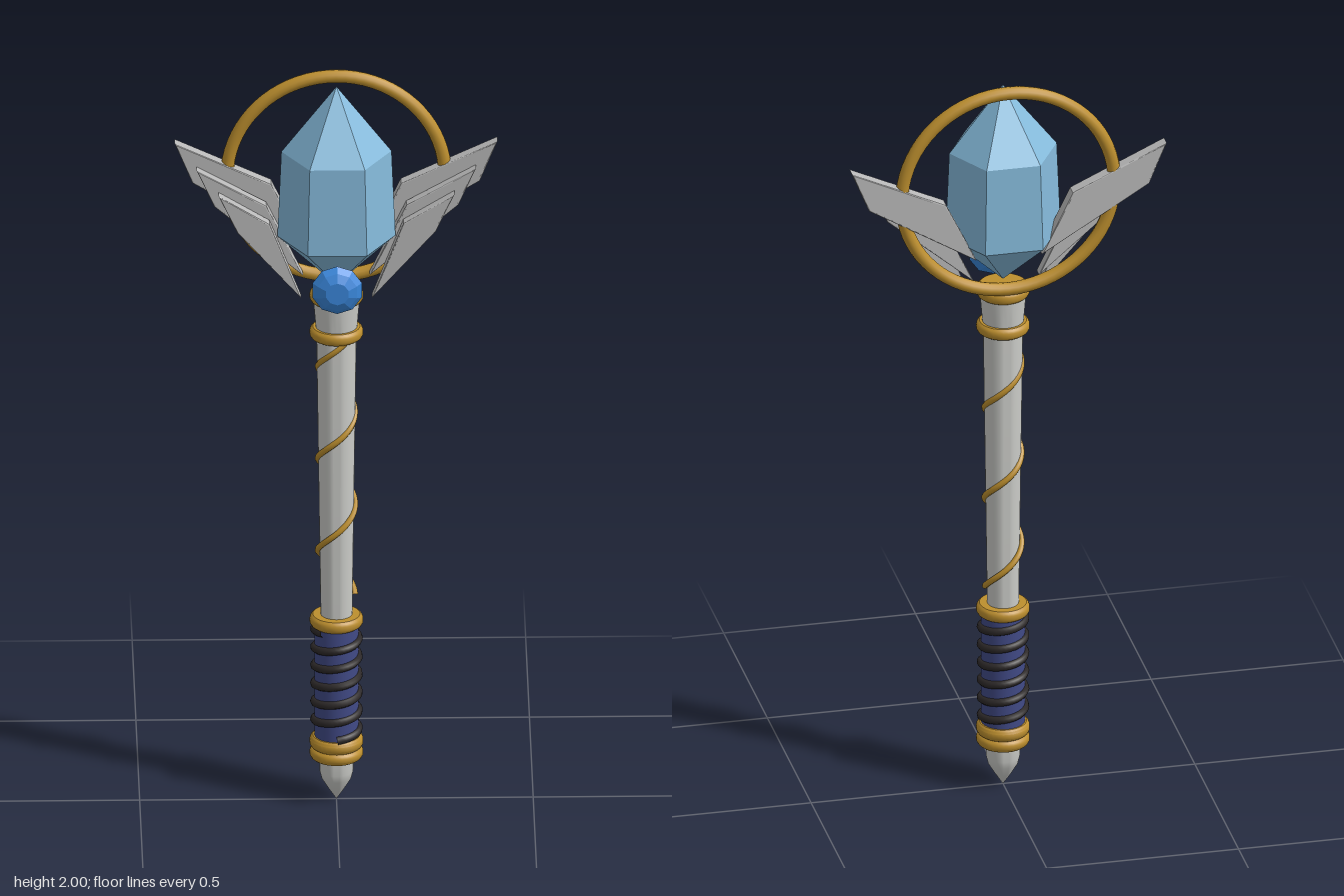
import * as THREE from 'three';
import { toCreasedNormals } from 'three/addons/utils/BufferGeometryUtils.js';

const paint = (name, color) => {
  const m = new THREE.MeshStandardMaterial({ color });
  m.name = name;
  return m;
};

export function createModel() {
  const pearl = paint('pearl', 0xcbccc8);
  const silver = paint('silver', 0xb9b9b9);
  const gold = paint('gold', 0xbd8f2e);
  const crystalBlue = paint('crystal blue', 0x86bbdc);
  const gemBlue = paint('gem blue', 0x3a88dc);
  const navy = paint('navy', 0x414a86);
  const cordDark = paint('dark cord', 0x2c2828);

  const group = new THREE.Group();
  const add = (name, geometry, material, parent = group) => {
    const mesh = new THREE.Mesh(geometry, material);
    mesh.name = name;
    parent.add(mesh);
    return mesh;
  };

  // Turned part from [radius, height] pairs, bottom to top
  const turned = (points, sides = 32, start = 0) =>
    new THREE.LatheGeometry(points.map(([r, y]) => new THREE.Vector2(r, y)), sides, start);
  const creased = (points) => toCreasedNormals(turned(points), 0.5);
  const faceted = (points, sides, start) => {
    const g = turned(points, sides, start).toNonIndexed();
    g.computeVertexNormals();
    return g;
  };

  // Helix rising with a turn from front towards +x
  const helix = (radius, y0, y1, pitch, phase, tube, steps) => {
    const points = [];
    for (let i = 0; i <= steps; i++) {
      const y = y0 + (y1 - y0) * i / steps;
      const t = phase + (y - y0) / pitch * Math.PI * 2;
      points.push(new THREE.Vector3(radius * Math.sin(t), y, radius * Math.cos(t)));
    }
    return new THREE.TubeGeometry(new THREE.CatmullRomCurve3(points), steps * 2, tube, 8);
  };

  // Pommel, grip, shaft and flared head
  add('pommel', creased([[0, 0], [0.02, 0.03], [0.038, 0.06], [0.043, 0.08], [0.044, 0.13]]), pearl);
  add('grip', creased([[0, 0.16], [0.056, 0.16], [0.056, 0.5], [0, 0.5]]), navy);
  add('gripCord', helix(0.056, 0.185, 0.48, 0.05, 0, 0.011, 100), cordDark);
  add('shaft', creased([[0, 0.49], [0.04, 0.49], [0.051, 1.3], [0, 1.3]]), pearl);
  add('head', creased([[0, 1.29], [0.051, 1.29], [0.06, 1.4], [0, 1.4]]), pearl);
  add('shaftSpiral', helix(0.047, 0.565, 1.29, 0.255, Math.PI / 2, 0.008, 80), gold);

  // Rounded gold collars, [bottom, top]
  for (const [a, b] of [[0.117, 0.147], [0.147, 0.18], [0.484, 0.515], [1.284, 1.315], [1.385, 1.417]]) {
    add('collar', creased([
      [0, a], [0.06, a], [0.065, a + 0.004], [0.068, a + 0.01],
      [0.068, b - 0.01], [0.065, b - 0.004], [0.06, b], [0, b],
    ]), gold);
  }

  // Halo ring behind the crystal
  add('halo', new THREE.TorusGeometry(0.277, 0.017, 12, 72), gold).position.set(0, 1.706, -0.058);

  // Six-sided crystal
  add('crystal', faceted([[0, 1.43], [0.15, 1.565], [0.14, 1.8], [0, 1.98]], 6, Math.PI / 2), crystalBlue);

  // Cut gem on the front
  const gem = faceted([[0, -0.055], [0.066, 0], [0.052, 0.015], [0.03, 0.027], [0, 0.027]], 10, 0);
  gem.rotateX(Math.PI / 2);
  add('gem', gem, gemBlue).position.set(0, 1.46, 0.105);

  // Three layered feathers per wing: outline and back plane
  const feathers = [
    { z: -0.075, t: 0.035, p: [[0.41, 1.805], [0.365, 1.695], [0.085, 1.525], [0.165, 1.692]] },
    { z: -0.04, t: 0.03, p: [[0.355, 1.743], [0.31, 1.642], [0.085, 1.45], [0.178, 1.645]] },
    { z: -0.01, t: 0.03, p: [[0.3, 1.685], [0.252, 1.582], [0.09, 1.4], [0.17, 1.607]] },
  ];
  const bevel = 0.004;
  for (const side of [1, -1]) {
    const wing = new THREE.Group();
    wing.name = side > 0 ? 'leftWing' : 'rightWing';
    group.add(wing);
    for (const { z, t, p } of feathers) {
      const shape = new THREE.Shape(p.map(([x, y]) => new THREE.Vector2(side * x, y)));
      const g = new THREE.ExtrudeGeometry(shape, {
        depth: t - 2 * bevel, bevelThickness: bevel, bevelSize: bevel, bevelOffset: -bevel, bevelSegments: 2,
      });
      add('feather', g, silver, wing).position.z = z + bevel;
    }
  }
  return group;
}
